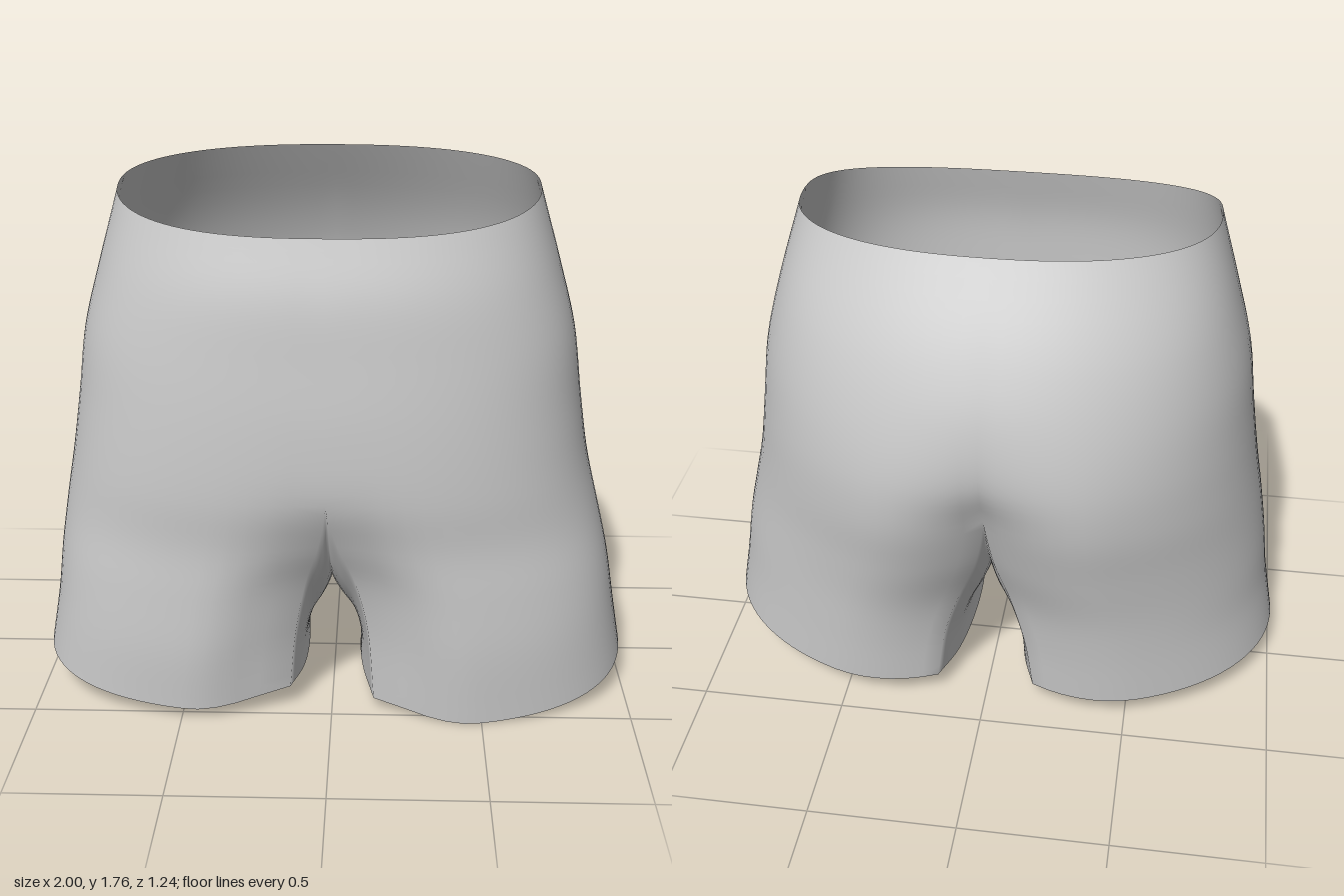
import * as THREE from 'three';
import { mergeVertices } from 'three/addons/utils/BufferGeometryUtils.js';

const OUT = 48, IN = 20, STEP = 5, SPLIT = 4; // columns outside / inside, rows per section, crotch section

// Cross-sections of one half, hem to waist:
// y at front, side, back | side x, side z | front x, z, dip | back x, z, dip, roundness
const SECTIONS = [
  [0.00, 0.135, 0.09, 1.00, 0.10, 0.14, 0.565, 0.11, 0.17, -0.47, 0.09, 1],
  [0.25, 0.33, 0.30, 0.965, 0.10, 0.12, 0.585, 0.12, 0.14, -0.50, 0.11, 1],
  [0.45, 0.50, 0.48, 0.94, 0.09, 0.08, 0.590, 0.10, 0.09, -0.535, 0.135, 1],
  [0.62, 0.68, 0.68, 0.905, 0.08, 0.03, 0.595, 0.05, 0.03, -0.59, 0.14, 1],
  [0.80, 0.85, 0.90, 0.87, 0.07, 0, 0.615, 0.01, 0, -0.645, 0.125, 1],
  [1.02, 1.05, 1.08, 0.84, 0.06, 0, 0.615, 0, 0, -0.65, 0.05, 0.98],
  [1.25, 1.27, 1.29, 0.81, 0.06, 0, 0.60, 0, 0, -0.61, 0.01, 0.95],
  [1.45, 1.48, 1.50, 0.755, 0.06, 0, 0.58, 0, 0, -0.53, 0, 0.9],
  [1.64, 1.735, 1.77, 0.68, 0.10, 0, 0.53, 0, 0, -0.38, 0, 0.86],
];

const V = (x, y, z) => new THREE.Vector3(x, y, z);

// Point on a section, s = 0 at the front centre, 0.5 at the side, 1 at the back centre
function sectionPoint([yF, yS, yB, a, zS, xF, zF, dF, xB, zB, dB, eB], s) {
  const front = s <= 0.5, c = Math.abs(Math.cos(s * Math.PI));
  const [y0, x0, z0, e] = front ? [yF, xF, zF, 0.77] : [yB, xB, zB, eB];
  const dip = front
    ? dF * Math.max(0, 1 - s / 0.1) ** 2
    : dB * Math.max(0, 1 - (1 - s) / 0.15) ** 2;
  const x = x0 + (a - x0) * Math.max(0, Math.sin(s * Math.PI)) ** e;
  const y = yS + (y0 - yS) * c + (front ? 0.4 * dip : 0);
  const z = zS + (z0 - zS) * c ** e + (front ? -dip : dip);
  return V(x, y, z);
}

// Grid of points for one half; side is 1 for left, -1 for right
function halfColumns(side) {
  const rows = (SECTIONS.length - 1) * STEP, split = SPLIT * STEP;
  const sections = SECTIONS.map((r) => r.slice());
  if (side < 0) sections[0][0] = 0.04; // right hem sits a little higher in front
  const columns = [];

  // Outer columns, hem to waist
  for (let i = 0; i <= OUT; i++) {
    const curve = new THREE.CatmullRomCurve3(sections.map((r) => sectionPoint(r, i / OUT)));
    const col = curve.getPoints(rows);
    if (i === 0 || i === OUT) {
      col.forEach((p, j) => { p.x = j >= split ? 0 : Math.max(0, p.x); });
    }
    columns.push(col);
  }

  // Inner leg, hem to the crotch seam, blended into the edge columns
  const back = columns[OUT], front = columns[0];
  const hem = new THREE.CatmullRomCurve3([
    back[0], V(0.12, 0.08, -0.22), V(0.092, 0.075, 0.03), V(0.1, 0.07, 0.27), front[0],
  ]);
  const seam = new THREE.CatmullRomCurve3([
    back[split], V(0, 0.7, -0.4), V(0, 0.53, -0.25), V(0, 0.44, -0.04),
    V(0, 0.42, 0.17), V(0, 0.45, 0.34), V(0, 0.56, 0.47), front[split],
  ]);
  const bend = (col, v, j) => col[j].clone().sub(col[0].clone().lerp(col[split], v));
  for (let i = 1; i < IN; i++) {
    const w = i / IN, a = hem.getPoint(w), b = seam.getPoint(w), col = [];
    for (let j = 0; j <= split; j++) {
      const v = j / split;
      const p = a.clone().lerp(b, v)
        .addScaledVector(bend(back, v, j), (1 - w) ** 2)
        .addScaledVector(bend(front, v, j), w ** 2);
      p.x = Math.max(0, p.x + 0.09 * w * (1 - w) * Math.sin(Math.PI * v)); // rounds the crotch
      col.push(p);
    }
    columns.push(col);
  }
  columns.push(front.slice(0, split + 1)); // close the leg
  return columns;
}

function shortsGeometry() {
  const pos = [], index = [];
  for (const side of [1, -1]) {
    const columns = halfColumns(side), starts = [];
    for (const col of columns) {
      starts.push(pos.length / 3);
      for (const p of col) {
        const lean = 0.018 * THREE.MathUtils.smoothstep(p.y, 0.3, 0.9);
        pos.push(p.x * side - lean, p.y, p.z);
      }
    }
    for (let i = 0; i < columns.length - 1; i++) {
      const n = Math.min(columns[i].length, columns[i + 1].length) - 1;
      for (let j = 0; j < n; j++) {
        const a = starts[i] + j, b = starts[i + 1] + j;
        if (side > 0) index.push(a, b, b + 1, a, b + 1, a + 1);
        else index.push(a, b + 1, b, a, a + 1, b + 1);
      }
    }
  }
  let geo = new THREE.BufferGeometry();
  geo.setAttribute('position', new THREE.Float32BufferAttribute(pos, 3));
  geo.setIndex(index);
  geo = mergeVertices(geo, 1e-4); // weld the centre seams
  geo.computeVertexNormals();
  return geo;
}

export function createModel() {
  const cloth = new THREE.MeshStandardMaterial({ color: 0xcccccc, side: THREE.DoubleSide });
  cloth.name = 'grey cloth';
  const shorts = new THREE.Mesh(shortsGeometry(), cloth);
  shorts.name = 'shorts';
  const group = new THREE.Group();
  group.name = 'pairOfShorts';
  group.add(shorts);
  return group;
}
